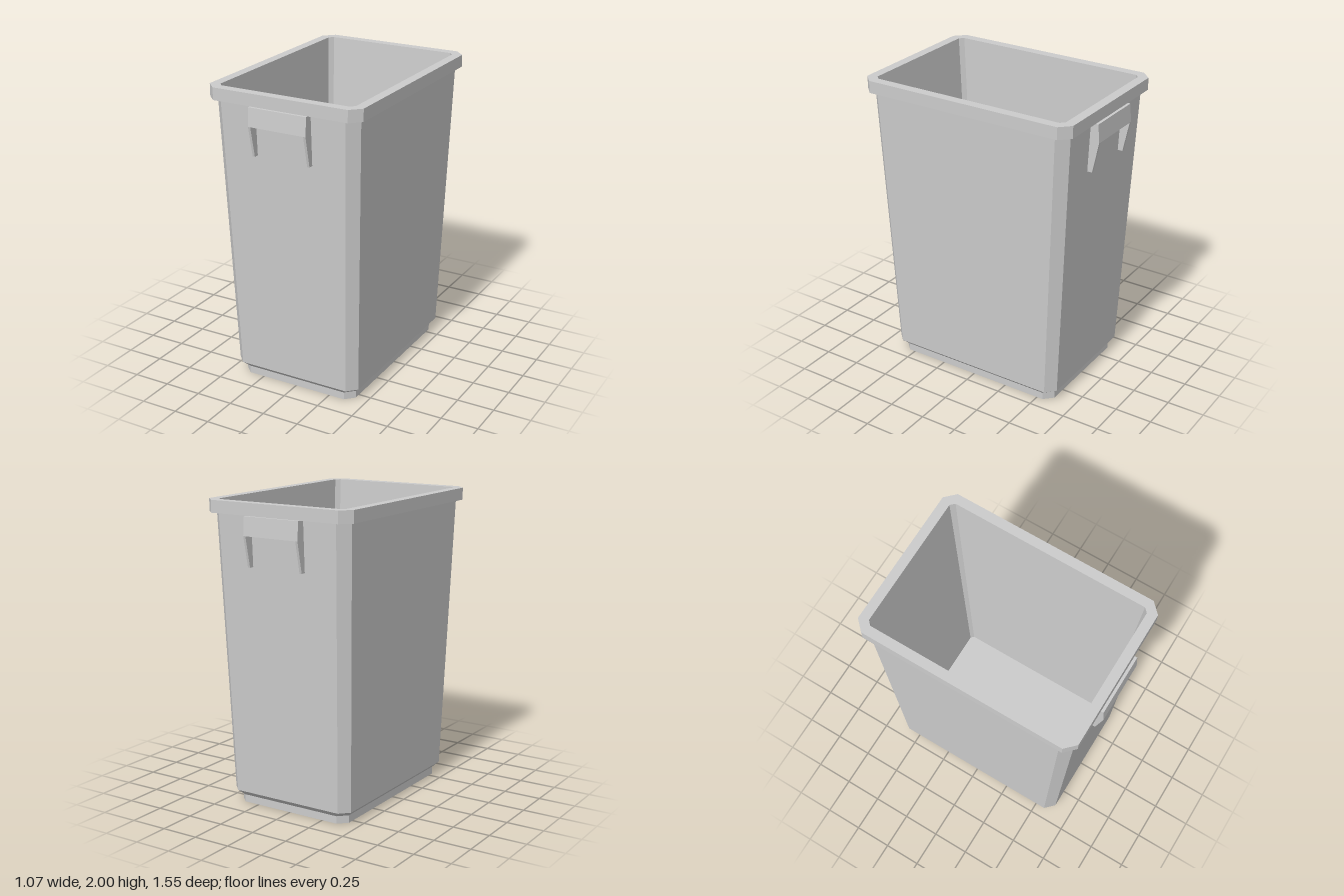
import * as THREE from 'three';

const material = new THREE.MeshStandardMaterial({ color: 0xcccccc, flatShading: true });

// Rectangle with chamfered corners, counter-clockwise seen from above
function ring({ y, hx, hz, c }) {
  return [
    [hx, hz - c], [hx, c - hz], [hx - c, -hz], [c - hx, -hz],
    [-hx, c - hz], [-hx, hz - c], [c - hx, hz], [hx - c, hz],
  ].map(([x, z]) => [x, y, z]);
}

// Joins successive rings with flat faces and closes both ends
function loft(sections) {
  const rings = sections.map(ring);
  const n = rings[0].length;
  const verts = [];
  const tri = (a, b, c) => verts.push(...a, ...b, ...c);
  for (let r = 0; r < rings.length - 1; r++) {
    const lo = rings[r], hi = rings[r + 1];
    for (let i = 0; i < n; i++) {
      const j = (i + 1) % n;
      tri(lo[i], lo[j], hi[j]);
      tri(lo[i], hi[j], hi[i]);
    }
  }
  const first = rings[0], last = rings[rings.length - 1];
  for (let i = 1; i < n - 1; i++) {
    tri(first[0], first[i + 1], first[i]);
    tri(last[0], last[i], last[i + 1]);
  }
  const geo = new THREE.BufferGeometry();
  geo.setAttribute('position', new THREE.Float32BufferAttribute(verts, 3));
  geo.computeVertexNormals();
  return geo;
}

// Extrudes a (z, y) side profile across x, centred on x
function sideProfile(points, width, x, name) {
  const shape = new THREE.Shape(points.map(([z, y]) => new THREE.Vector2(z, y)));
  const geo = new THREE.ExtrudeGeometry(shape, { depth: width, bevelEnabled: false });
  geo.translate(0, 0, -width / 2);
  geo.rotateY(-Math.PI / 2);
  const mesh = new THREE.Mesh(geo, material);
  mesh.position.x = x;
  mesh.name = name;
  return mesh;
}

function createHandle(name) {
  const handle = new THREE.Group();
  handle.name = name;
  // Grip block under the rim
  handle.add(sideProfile([[0.70, 1.8], [0.777, 1.8], [0.768, 1.92], [0.70, 1.92]], 0.37, 0, 'grip'));
  // Tapering bracket at each end
  for (const s of [1, -1]) {
    handle.add(sideProfile(
      [[0.69, 1.6], [0.735, 1.6], [0.777, 1.8], [0.768, 1.92], [0.70, 1.92]],
      0.016, s * 0.192, s > 0 ? 'leftBracket' : 'rightBracket'));
  }
  return handle;
}

export function createModel() {
  const bin = new THREE.Group();
  bin.name = 'bin';

  // Foot, tapered wall, rim, then down the inside to the floor
  const body = new THREE.Mesh(loft([
    { y: 0, hx: 0.415, hz: 0.60, c: 0.057 },
    { y: 0.05, hx: 0.415, hz: 0.60, c: 0.057 },
    { y: 0.085, hx: 0.45, hz: 0.635, c: 0.06 },
    { y: 1.92, hx: 0.50, hz: 0.717, c: 0.067 },
    { y: 1.92, hx: 0.533, hz: 0.75, c: 0.067 },
    { y: 2, hx: 0.533, hz: 0.75, c: 0.067 },
    { y: 2, hx: 0.47, hz: 0.687, c: 0.027 },
    { y: 0.06, hx: 0.42, hz: 0.575, c: 0.02 },
  ]), material);
  body.name = 'body';
  bin.add(body);

  // Matching handles on the two short sides
  const back = createHandle('backHandle');
  back.rotation.y = Math.PI;
  bin.add(createHandle('frontHandle'), back);
  return bin;
}
